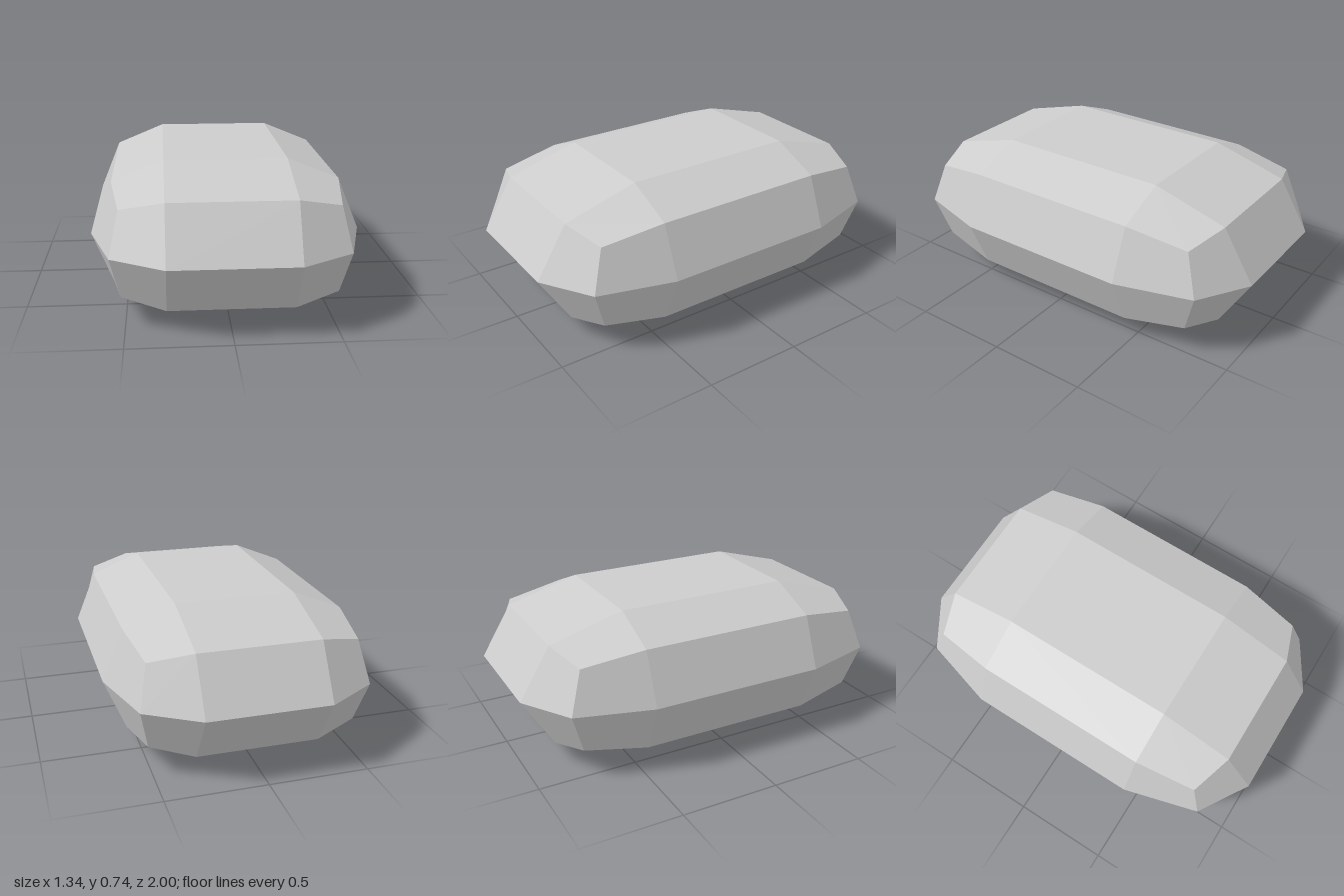
import * as THREE from 'three';

// Rounded block: distances from the centre along each axis for a point whose
// own coordinate is on the box surface and lies on a face, an edge or a corner;
// "inner" is used for the subdivision lines between.
const AXES = {
  x: { outer: [0.67, 0.563, 0.518], inner: 0.305 },
  y: { outer: [0.3675, 0.261, 0.213], inner: 0 },
  z: { outer: [1, 0.84, 0.772], inner: 0.458 },
};
const HALF_HEIGHT = 0.3675;

function roundedBlockGeometry() {
  const geometry = new THREE.BoxGeometry(2, 2, 2, 3, 2, 3).toNonIndexed();
  const pos = geometry.attributes.position;
  const p = new THREE.Vector3();

  // Pull edges and corners in towards the centre
  for (let i = 0; i < pos.count; i++) {
    p.fromBufferAttribute(pos, i);
    const onSurface = (v) => Math.abs(v) > 0.99;
    const kind = [p.x, p.y, p.z].filter(onSurface).length - 1;
    for (const axis of ['x', 'y', 'z']) {
      const { outer, inner } = AXES[axis];
      const v = p[axis];
      const size = onSurface(v) ? outer[kind] : inner;
      p[axis] = Math.abs(v) < 0.01 ? 0 : Math.sign(v) * size;
    }
    pos.setXYZ(i, p.x, p.y, p.z);
  }

  // One flat normal per four-sided facet (two triangles, a b d / b c d)
  const normal = geometry.attributes.normal;
  const [a, b, c, d] = [0, 1, 2, 3].map(() => new THREE.Vector3());
  for (let i = 0; i < pos.count; i += 6) {
    a.fromBufferAttribute(pos, i);
    b.fromBufferAttribute(pos, i + 1);
    d.fromBufferAttribute(pos, i + 2);
    c.fromBufferAttribute(pos, i + 4);
    const n = c.sub(a).cross(d.sub(b)).normalize();
    for (let k = 0; k < 6; k++) normal.setXYZ(i + k, n.x, n.y, n.z);
  }
  return geometry;
}

export function createModel() {
  const group = new THREE.Group();
  group.name = 'roundedBlock';

  const grey = new THREE.MeshStandardMaterial({ color: 0xcccccc });
  grey.name = 'light grey';

  const body = new THREE.Mesh(roundedBlockGeometry(), grey);
  body.name = 'body';
  body.position.y = HALF_HEIGHT;
  group.add(body);
  return group;
}
